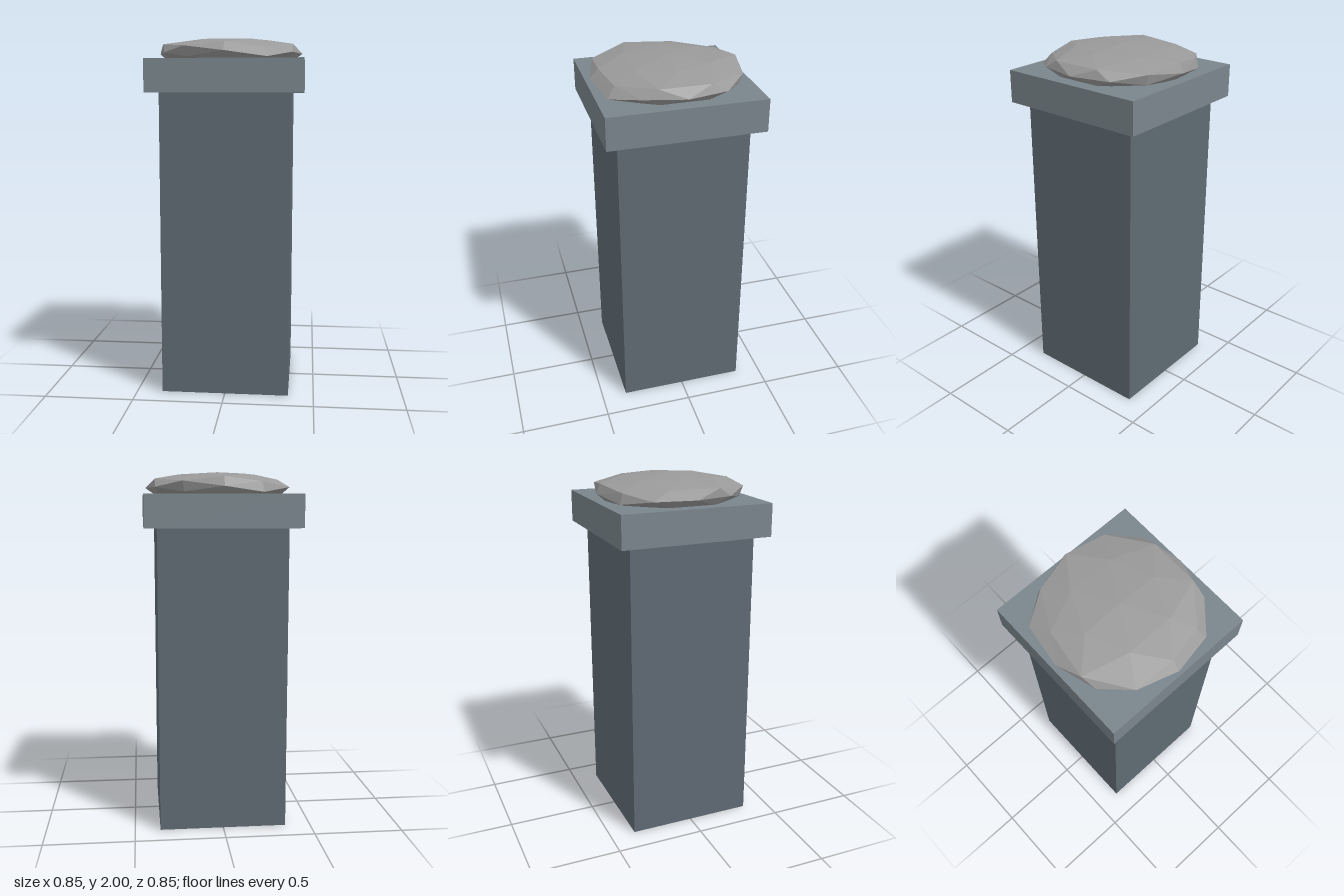
import * as THREE from 'three';

const material = (color) => new THREE.MeshStandardMaterial({ color, flatShading: true });

function block(name, width, bottom, top, color) {
  const mesh = new THREE.Mesh(new THREE.BoxGeometry(width, top - bottom, width), material(color));
  mesh.name = name;
  mesh.position.y = (bottom + top) / 2;
  return mesh;
}

// Uneven spots of the stone: direction and radial scale
const BUMPS = [
  [0, 0, -1, 0.98], [0, 0.53, -0.85, 1.09], [0, 0.53, 0.85, 1.03], [0, 0, 1, 0.99],
  [-1, 0, 0, 0.98], [1, 0, 0, 0.98],
  [-0.5, -0.31, -0.81, 1.045], [0.5, 0.31, -0.81, 1.04], [0.5, -0.31, 0.81, 1.09],
  [0.5, 0.31, 0.81, 0.96], [-0.5, 0.31, 0.81, 1.05],
  [0.81, 0.5, -0.31, 1.06], [0.81, 0.5, 0.31, 1.06], [-0.81, 0.5, 0.31, 1.09],
  [-0.81, 0.5, -0.31, 0.97], [-0.85, 0, -0.53, 1.055], [-0.85, 0, 0.53, 0.98],
  [0.85, 0, -0.53, 1.01],
];

// Flattened faceted boulder, its underside sunk into the cap
function stone() {
  const geometry = new THREE.IcosahedronGeometry(1, 1);
  const p = geometry.attributes.position;
  const v = new THREE.Vector3();
  for (let i = 0; i < p.count; i++) {
    v.fromBufferAttribute(p, i);
    const bump = BUMPS.find(([x, y, z]) => Math.hypot(v.x - x, v.y - y, v.z - z) < 0.1);
    v.multiplyScalar(bump ? bump[3] : 1);
    p.setXYZ(i, v.x * 0.42, v.y * 0.09, v.z * 0.42);
  }
  geometry.computeVertexNormals();
  const mesh = new THREE.Mesh(geometry, material(0x9a9a9a));
  mesh.name = 'topStone';
  mesh.position.y = 1.91;
  return mesh;
}

export function createModel() {
  const group = new THREE.Group();
  group.name = 'stonePillar';
  group.add(
    block('shaft', 0.715, 0, 1.69, 0x5f6a73),
    block('cap', 0.852, 1.69, 1.87, 0x7a858c),
    stone(),
  );
  return group;
}
